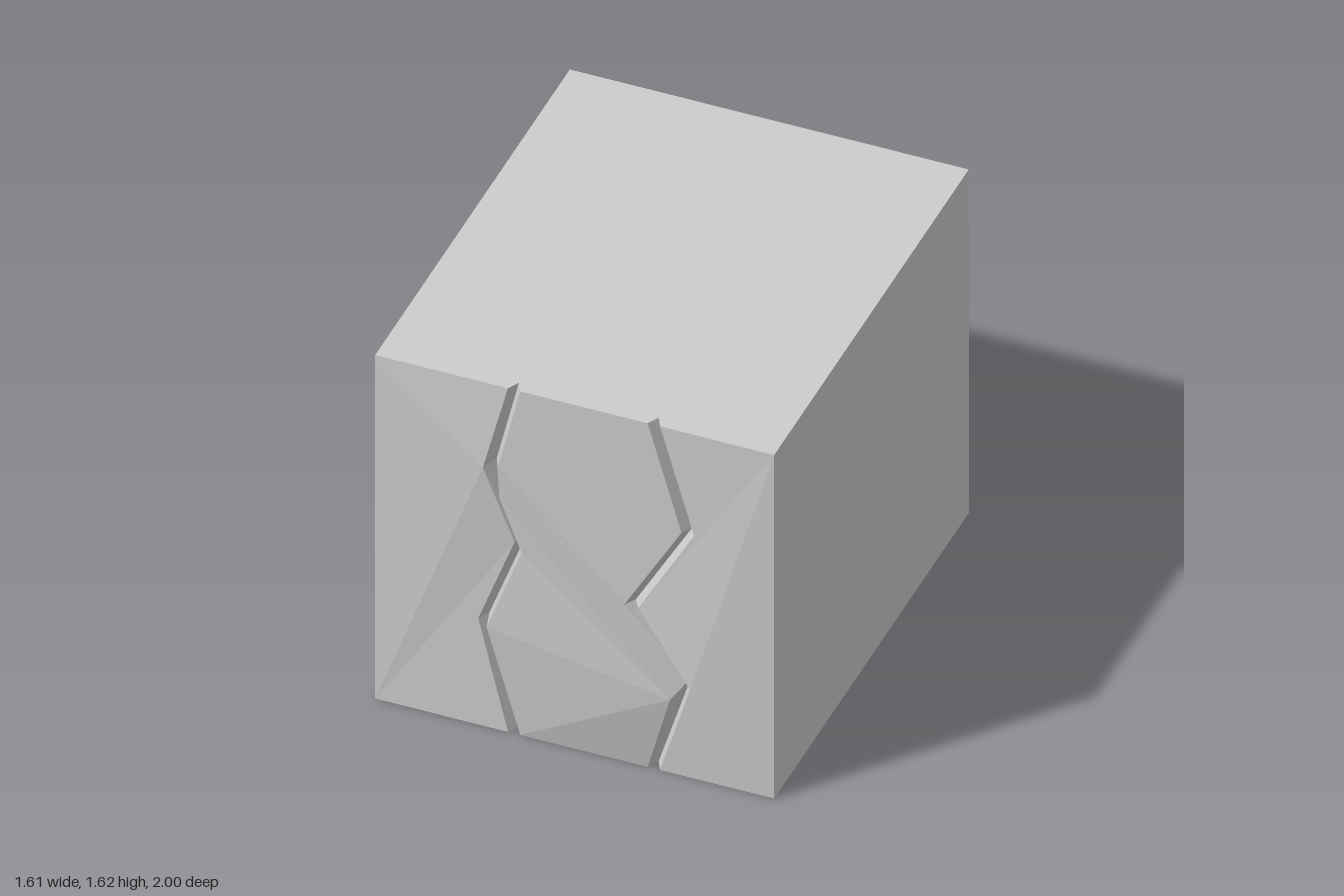
import * as THREE from 'three';

const W = 0.807, H = 1.615, FRONT = 0.905, BACK = -1, FLOOR = 0.858;

// Builds front-facing flat facets from triangles of [x, y, z] points, fixing corner order.
function facets(tris) {
  const data = [];
  for (const [a, b, c] of tris) {
    const area = (b[0] - a[0]) * (c[1] - a[1]) - (c[0] - a[0]) * (b[1] - a[1]);
    data.push(...a, ...(area > 0 ? b : c), ...(area > 0 ? c : b));
  }
  const g = new THREE.BufferGeometry();
  g.setAttribute('position', new THREE.Float32BufferAttribute(data, 3));
  g.computeVertexNormals();
  return g;
}

// Triangles joining two lines that have the same number of points.
function strip(a, b) {
  const tris = [];
  for (let i = 0; i < a.length - 1; i++) {
    tris.push([a[i], b[i], b[i + 1]], [a[i], b[i + 1], a[i + 1]]);
  }
  return tris;
}

const line = (pts) => pts.map(([x, y, z = FRONT]) => [x, y, z]);
const fan = (p, ids) => ids.map((t) => t.map((i) => p[i]));

export function createModel() {
  const model = new THREE.Group();
  const stone = new THREE.MeshStandardMaterial({ color: 0xcccccc });
  stone.name = 'stoneGrey';
  const add = (name, geometry) => {
    const mesh = new THREE.Mesh(geometry, stone);
    mesh.name = name;
    model.add(mesh);
    return mesh;
  };

  // Bottom lines of the two long cracks, from top to bottom
  const L = line([[-0.245, H], [-0.335, 1.235], [-0.218, 0.9], [-0.365, 0.5], [-0.245, 0]])
    .map(([x, y]) => [x, y, FLOOR]);
  const R = line([[0.32, H], [0.457, 1.14], [0.228, 0.735], [0.45, 0.427], [0.32, 0]])
    .map(([x, y]) => [x, y, FLOOR]);

  // Rims of the four broken front slabs
  const leftRim = line([[-0.27, H], [-0.36, 1.235, 0.933], [-0.243, 0.9], [-0.39, 0.5], [-0.27, 0]]);
  const rightRim = line([[0.345, H], [0.483, 1.14], [0.257, 0.735], [0.476, 0.43, 0.928], [0.345, 0]]);
  const upperRim = line([[-0.22, H], [-0.308, 1.24], [0.2, 0.735], [0.432, 1.14], [0.295, H]]);
  const lowerRim = line([[-0.28, 1.14, 0.965], [-0.193, 0.9, 0.957], [-0.34, 0.5, 0.945],
    [-0.22, 0], [0.295, 0], [0.425, 0.42, 1]]);

  // Slabs: outer corners 5 and 6 are the block's top and bottom edges
  const corners = (side) => line([[side * W, H], [side * W, 0]]);
  add('leftSlab', facets(fan([...leftRim, ...corners(-1)],
    [[5, 0, 1], [5, 1, 6], [6, 1, 2], [6, 2, 3], [6, 3, 4]])));
  add('rightSlab', facets(fan([...rightRim, ...corners(1)],
    [[5, 0, 1], [5, 1, 2], [5, 2, 3], [5, 3, 6], [6, 3, 4]])));
  add('upperSlab', facets(fan(upperRim, [[0, 1, 2], [0, 2, 4], [4, 2, 3]])));
  add('lowerSlab', facets(fan(lowerRim, [[0, 1, 5], [1, 2, 5], [2, 3, 5], [3, 4, 5]])));

  // V-shaped crack walls, each running from a rim down to a crack line
  const [u0, u1, u2, u3, u4] = upperRim;
  const [c0, c1, c2, c3, c4, c5] = lowerRim;
  add('leftCrack', facets([
    ...strip(leftRim, L), ...strip([u0, u1], L), ...strip([c0, c1, c2, c3], L.slice(1)),
  ]));
  add('rightCrack', facets([
    ...strip(rightRim, R), ...strip([u4, u3, u2], R), ...strip([c5, c4], R.slice(3)),
    [u2, R[2], R[3]],
  ]));
  add('diagonalCrack', facets([
    ...strip([u1, u2], [L[1], R[3]]), ...strip([c0, c5], [L[1], R[3]]),
  ]));

  // Top and bottom faces, notched where the cracks run out
  const outline = [[-W, BACK], [-W, FRONT], [-0.27, FRONT], [-0.245, FLOOR], [-0.22, FRONT],
    [0.295, FRONT], [0.32, FLOOR], [0.345, FRONT], [W, FRONT], [W, BACK]];
  for (const s of [1, -1]) {
    const shape = new THREE.Shape(outline.map(([x, z]) => new THREE.Vector2(x, -s * z)));
    const cap = new THREE.ShapeGeometry(shape).rotateX(-s * Math.PI / 2);
    add(s > 0 ? 'topFace' : 'bottomFace', cap).position.y = s > 0 ? H : 0;
  }

  // Plain side and back faces
  const depth = FRONT - BACK;
  for (const s of [1, -1]) {
    const side = add(s > 0 ? 'leftSide' : 'rightSide',
      new THREE.PlaneGeometry(depth, H).rotateY(s * Math.PI / 2));
    side.position.set(s * W, H / 2, (FRONT + BACK) / 2);
  }
  add('backFace', new THREE.PlaneGeometry(2 * W, H).rotateY(Math.PI)).position.set(0, H / 2, BACK);

  return model;
}
